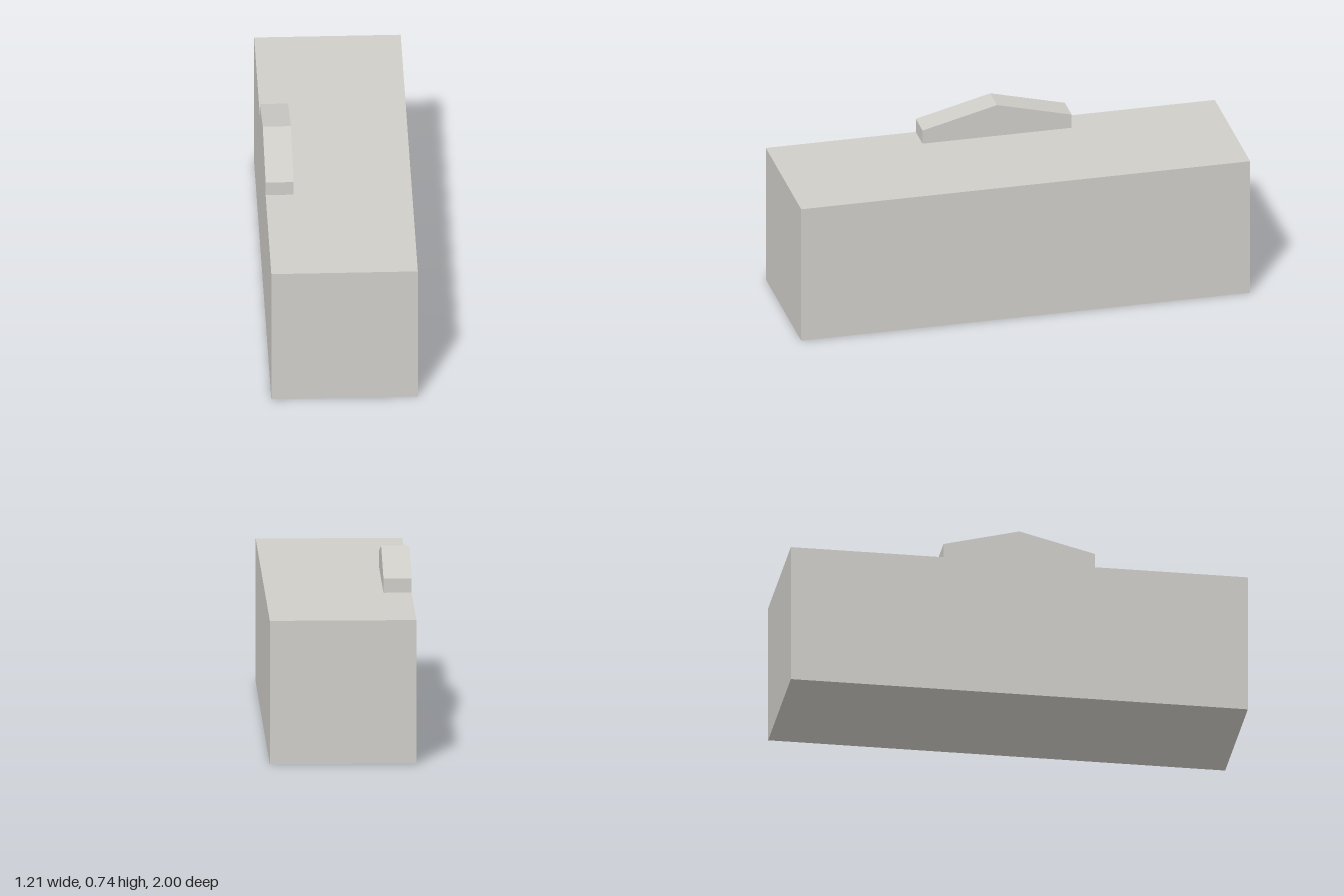
import * as THREE from 'three';

const LENGTH = 1.906, WIDTH = 0.604, HEIGHT = 0.6;
const GABLE = { length: 0.633, depth: 0.116, eave: 0.06, ridge: 0.14 };

export function createModel() {
  const model = new THREE.Group();
  model.name = 'building';
  const stone = new THREE.MeshStandardMaterial({ color: 0xcfcdc8 });
  stone.name = 'pale stone';

  // Long flat-roofed block
  const block = new THREE.Mesh(new THREE.BoxGeometry(WIDTH, HEIGHT, LENGTH), stone);
  block.name = 'mainBlock';
  block.position.y = HEIGHT / 2;

  // Pitched parapet, flush with one long wall
  const half = GABLE.length / 2;
  const profile = new THREE.Shape([
    new THREE.Vector2(-half, 0),
    new THREE.Vector2(half, 0),
    new THREE.Vector2(half, GABLE.eave),
    new THREE.Vector2(0, GABLE.ridge),
    new THREE.Vector2(-half, GABLE.eave),
  ]);
  const gable = new THREE.Mesh(
    new THREE.ExtrudeGeometry(profile, { depth: GABLE.depth, bevelEnabled: false }), stone);
  gable.name = 'roofGable';
  gable.rotation.y = Math.PI / 2;
  gable.position.set(-WIDTH / 2, HEIGHT, 0);

  // The building stands turned on its plot
  const body = new THREE.Group();
  body.name = 'turnedBody';
  body.rotation.y = THREE.MathUtils.degToRad(-19.7);
  body.add(block, gable);
  model.add(body);
  return model;
}
